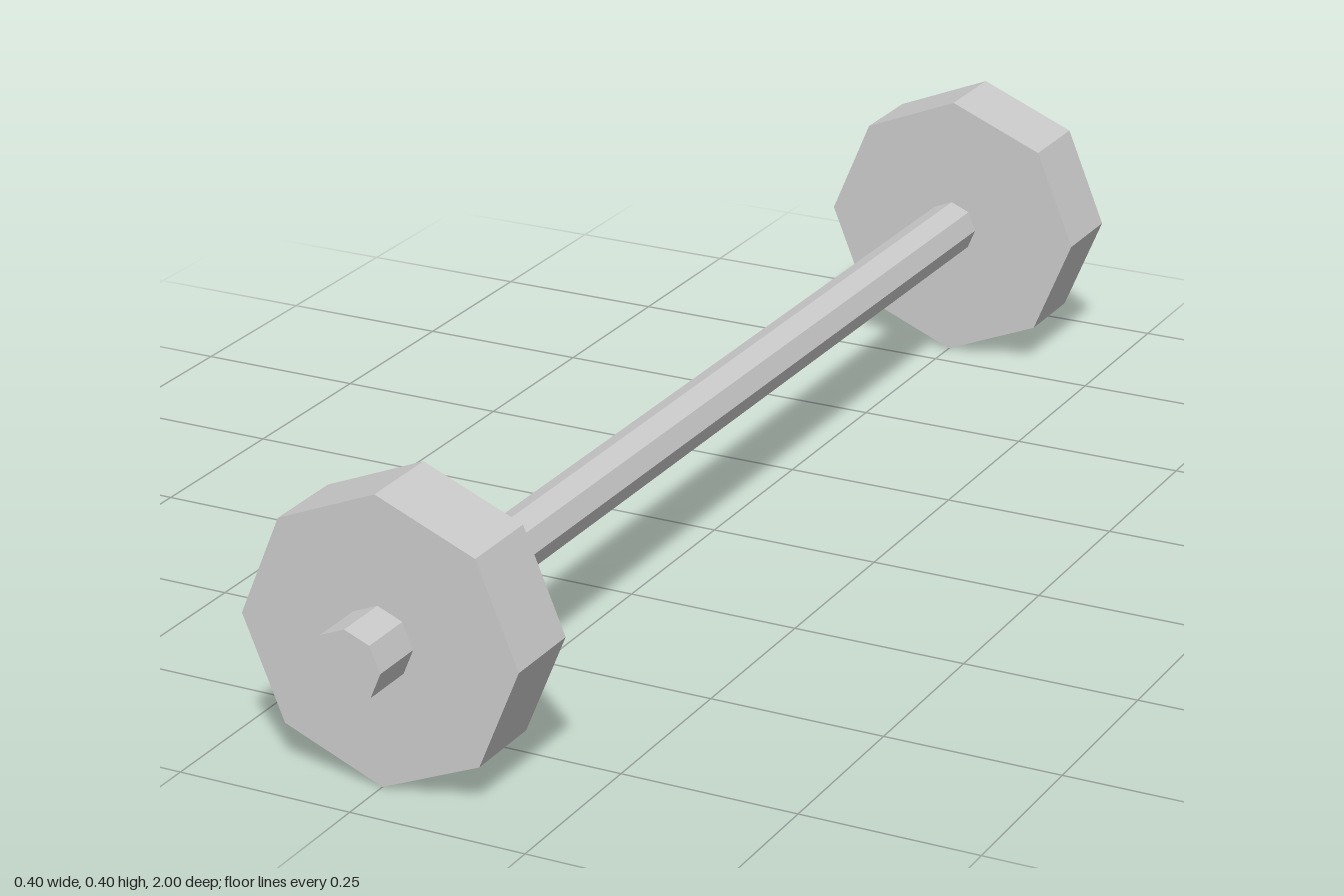
import * as THREE from 'three';

const SIDES = 8;
const AXLE_HEIGHT = 0.2;

export function createModel() {
  const model = new THREE.Group();
  model.name = 'wheelAxle';
  const material = new THREE.MeshStandardMaterial({ color: 0xcccccc, flatShading: true });

  // Octagonal prism lying along z, with a corner pointing straight up
  function prism(name, radius, zStart, zEnd) {
    const geometry = new THREE.CylinderGeometry(radius, radius, zEnd - zStart, SIDES);
    geometry.rotateX(Math.PI / 2);
    const mesh = new THREE.Mesh(geometry, material);
    mesh.name = name;
    mesh.position.set(0, AXLE_HEIGHT, (zStart + zEnd) / 2);
    model.add(mesh);
  }

  // Long bar between the wheels
  prism('axleBar', 0.04, -0.8, 0.8);

  // Wheels and the hub stubs outside them
  prism('frontWheel', 0.2, 0.8, 0.92);
  prism('backWheel', 0.2, -0.92, -0.8);
  prism('frontHub', 0.05, 0.92, 1);
  prism('backHub', 0.05, -1, -0.92);

  return model;
}
